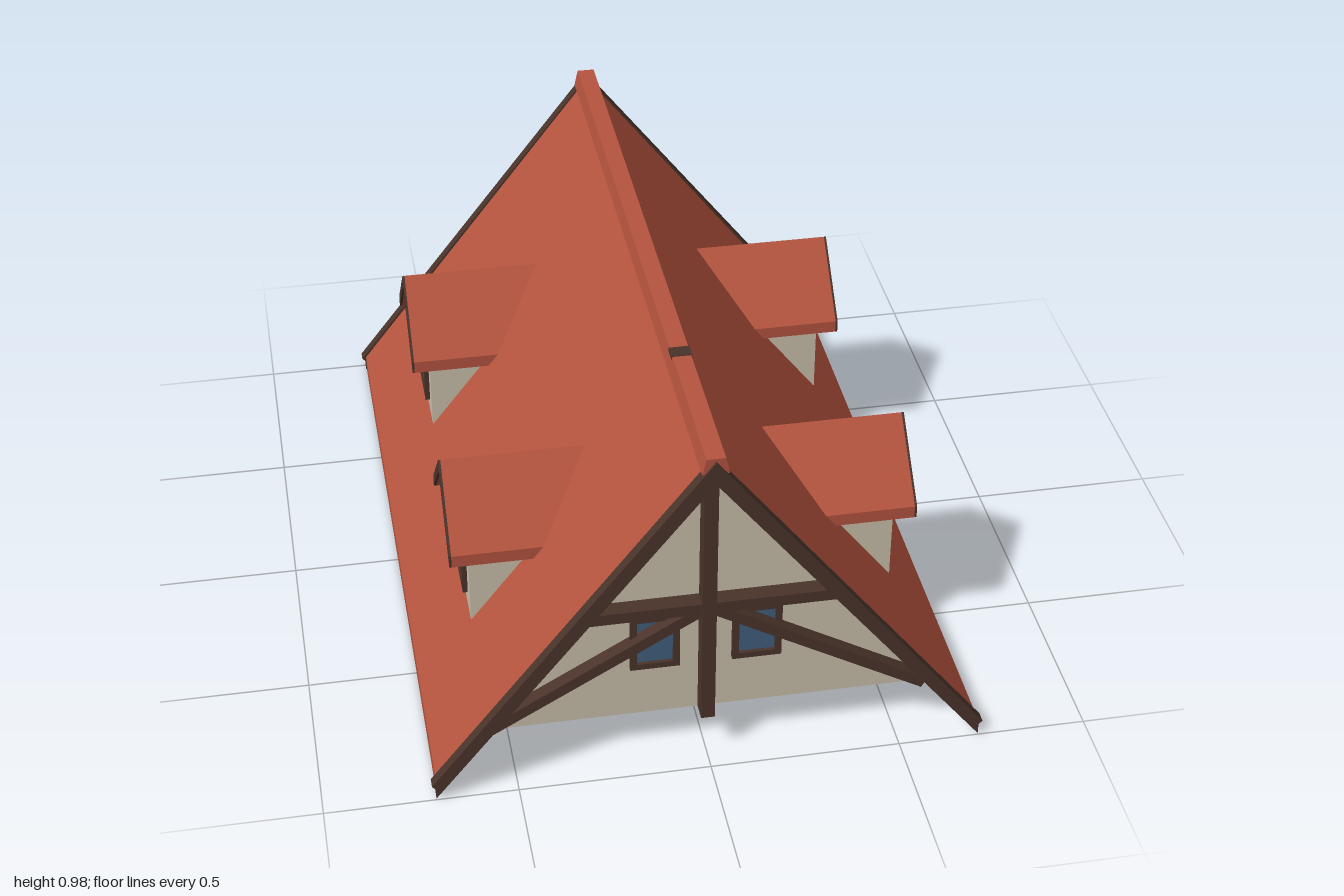
import * as THREE from 'three';

const mat = (name, color) => {
  const m = new THREE.MeshStandardMaterial({ color });
  m.name = name;
  return m;
};

export function createModel() {
  const roofRed = mat('roof red', 0xb5543f);
  const plaster = mat('cream plaster', 0xcbc1ab);
  const timber = mat('dark timber', 0x4a342b);
  const glass = mat('window blue', 0x42607f);
  const model = new THREE.Group();
  model.name = 'roofHouse';

  const add = (parent, name, geometry, material) => {
    const mesh = new THREE.Mesh(geometry, material);
    mesh.name = name;
    parent.add(mesh);
    return mesh;
  };
  // Outline in x, y pushed from z0 to z1
  const prism = (parent, name, pts, z0, z1, material) => {
    const shape = new THREE.Shape(pts.map(p => new THREE.Vector2(...p)));
    const g = new THREE.ExtrudeGeometry(shape, { depth: z1 - z0, bevelEnabled: false });
    return add(parent, name, g.translate(0, 0, z0), material);
  };
  // Box given by its limits
  const block = (parent, name, x0, x1, y0, y1, z0, z1, material) => {
    const g = new THREE.BoxGeometry(x1 - x0, y1 - y0, z1 - z0);
    return add(parent, name, g.translate((x0 + x1) / 2, (y0 + y1) / 2, (z0 + z1) / 2), material);
  };
  // Half outline, from the bottom centre outward to the top centre, mirrored in x
  const mirrored = half => [...half,
    ...half.slice().reverse().filter(p => p[0] !== 0).map(([x, y]) => [-x, y])];
  // Window frame with a recessed pane, facing +z
  const window = (parent, x, y, w, h, z0, z1) => {
    const t = 0.017, hw = w / 2, hh = h / 2;
    for (const s of [-1, 1]) {
      const xs = x + s * (hw - t / 2), ys = y + s * (hh - t / 2);
      block(parent, 'windowFrameSide', xs - t / 2, xs + t / 2, y - hh, y + hh, z0, z1, timber);
      block(parent, 'windowFrameRail', x - hw + t, x + hw - t, ys - t / 2, ys + t / 2, z0, z1, timber);
    }
    block(parent, 'windowPane', x - hw + t, x + hw - t, y - hh + t, y + hh - t, z0, z0 + 0.006, glass);
  };

  // Main roof and ridge cap
  const chevron = [[0, 0.965], [-0.71, 0.05], [-0.71, 0], [0, 0.915], [0.71, 0], [0.71, 0.05]];
  prism(model, 'mainRoof', chevron, -0.98, 0.98, roofRed);
  prism(model, 'ridgeCap', [[-0.034, 0.935], [0.034, 0.935], [0.024, 0.98], [-0.024, 0.98]],
    -0.995, 0.995, roofRed);
  block(model, 'ridgePatch', -0.027, 0.027, 0.972, 0.982, 0.51, 0.55, timber);

  // Gable ends, the same at front and back
  for (const turn of [0, Math.PI]) {
    const gable = new THREE.Group();
    gable.name = turn ? 'backGable' : 'frontGable';
    gable.rotation.y = turn;
    model.add(gable);

    prism(gable, 'gableWall', [[-0.618, 0.125], [0.618, 0.125], [0, 0.925]], 0.835, 0.9, plaster);
    prism(gable, 'bargeBoards', [[0, 0.972], [-0.722, 0.045], [-0.712, 0.035], [-0.712, 0.004],
      [0, 0.907], [0.712, 0.004], [0.712, 0.035], [0.722, 0.045]], 0.97, 1, timber);
    block(gable, 'kingPost', -0.018, 0.018, 0.125, 0.93, 0.895, 0.95, timber);
    block(gable, 'collarBeam', -0.33, 0.33, 0.465, 0.497, 0.895, 0.945, timber);
    for (const s of [-1, 1]) {
      const dx = 0.57, dy = -0.33;
      const brace = add(gable, 'brace',
        new THREE.BoxGeometry(Math.hypot(dx, dy), 0.03, 0.04), timber);
      brace.position.set(s * (0.005 + dx / 2), 0.475 + dy / 2, 0.918);
      brace.rotation.z = s * Math.atan2(dy, dx);
      window(gable, s * 0.132, 0.364, 0.128, 0.168, 0.898, 0.914);
    }
  }

  // Four dormers, each built facing +z and turned to its slope
  for (const s of [-1, 1]) for (const z of [-0.45, 0.45]) {
    const dormer = new THREE.Group();
    dormer.name = 'dormer';
    dormer.position.z = z;
    dormer.rotation.y = s * Math.PI / 2;
    model.add(dormer);

    block(dormer, 'dormerFront', -0.14, 0.14, 0.24, 0.5, 0.55, 0.565, plaster);
    block(dormer, 'dormerCeiling', -0.14, 0.14, 0.488, 0.5, 0.19, 0.55, plaster);
    for (const c of [-1, 1])
      block(dormer, 'dormerCheek', c * 0.135 - 0.005, c * 0.135 + 0.005, 0.24, 0.488, 0.19, 0.55, plaster);
    const outline = [[0, 0.663], [-0.179, 0.484], [-0.179, 0.449], [0, 0.628],
      [0.179, 0.449], [0.179, 0.484]];
    prism(dormer, 'dormerRoof', outline, 0.18, 0.612, roofRed);
    prism(dormer, 'dormerBarge', outline, 0.612, 0.618, timber);
    window(dormer, 0, 0.377, 0.17, 0.18, 0.563, 0.578);
  }
  return model;
}
